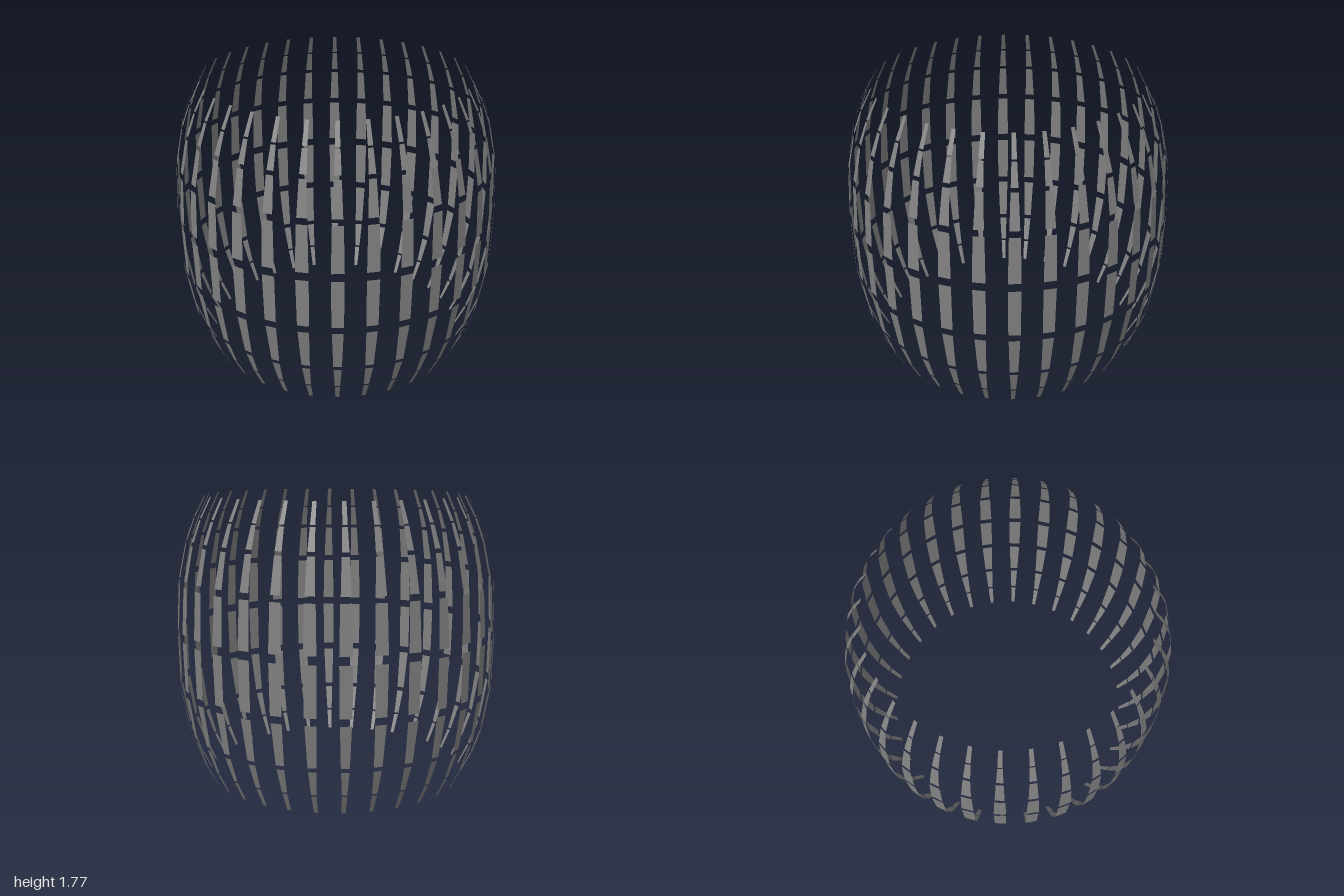
import * as THREE from 'three';

const RIBS = 32;
const MID = 0.887;

// Rows from bottom to top: [y bottom, y top, width bottom, width top]
const ROWS = [
  [0, 0.123, 0.023, 0.031],
  [0.134, 0.289, 0.032, 0.047],
  [0.315, 0.572, 0.05, 0.066],
  [0.615, 0.914, 0.07, 0.075],
  [0.963, 1.246, 0.075, 0.064],
  [1.283, 1.49, 0.058, 0.043],
  [1.513, 1.642, 0.041, 0.03],
  [1.652, 1.775, 0.029, 0.023],
];

// Barrel profile: nearly straight at the middle, curling in at both ends
const radius = (y) => 1 - 0.185 * Math.pow(Math.abs(y - MID) / MID, 2.8);

// Flat tapered panel facing +z
function panelGeometry([y0, y1, w0, w1]) {
  const geo = new THREE.PlaneGeometry(1, 1);
  const pos = geo.attributes.position;
  for (let i = 0; i < pos.count; i++) {
    const top = pos.getY(i) > 0;
    const y = top ? y1 : y0;
    pos.setXYZ(i, pos.getX(i) * (top ? w1 : w0), y, radius(y));
  }
  geo.computeVertexNormals();
  return geo;
}

export function createModel() {
  const model = new THREE.Group();
  model.name = 'slattedBarrel';
  const grey = new THREE.MeshStandardMaterial({ color: 0x808080, side: THREE.DoubleSide });
  grey.name = 'grey';

  // Each rib is a vertical chain of panels, repeated around the axis
  const panels = ROWS.map(panelGeometry);
  for (let i = 0; i < RIBS; i++) {
    const rib = new THREE.Group();
    rib.name = `rib${i + 1}`;
    rib.rotation.y = ((i + 0.5) / RIBS) * Math.PI * 2;
    panels.forEach((geo, row) => {
      const panel = new THREE.Mesh(geo, grey);
      panel.name = `panelRow${row + 1}`;
      rib.add(panel);
    });
    model.add(rib);
  }
  return model;
}
